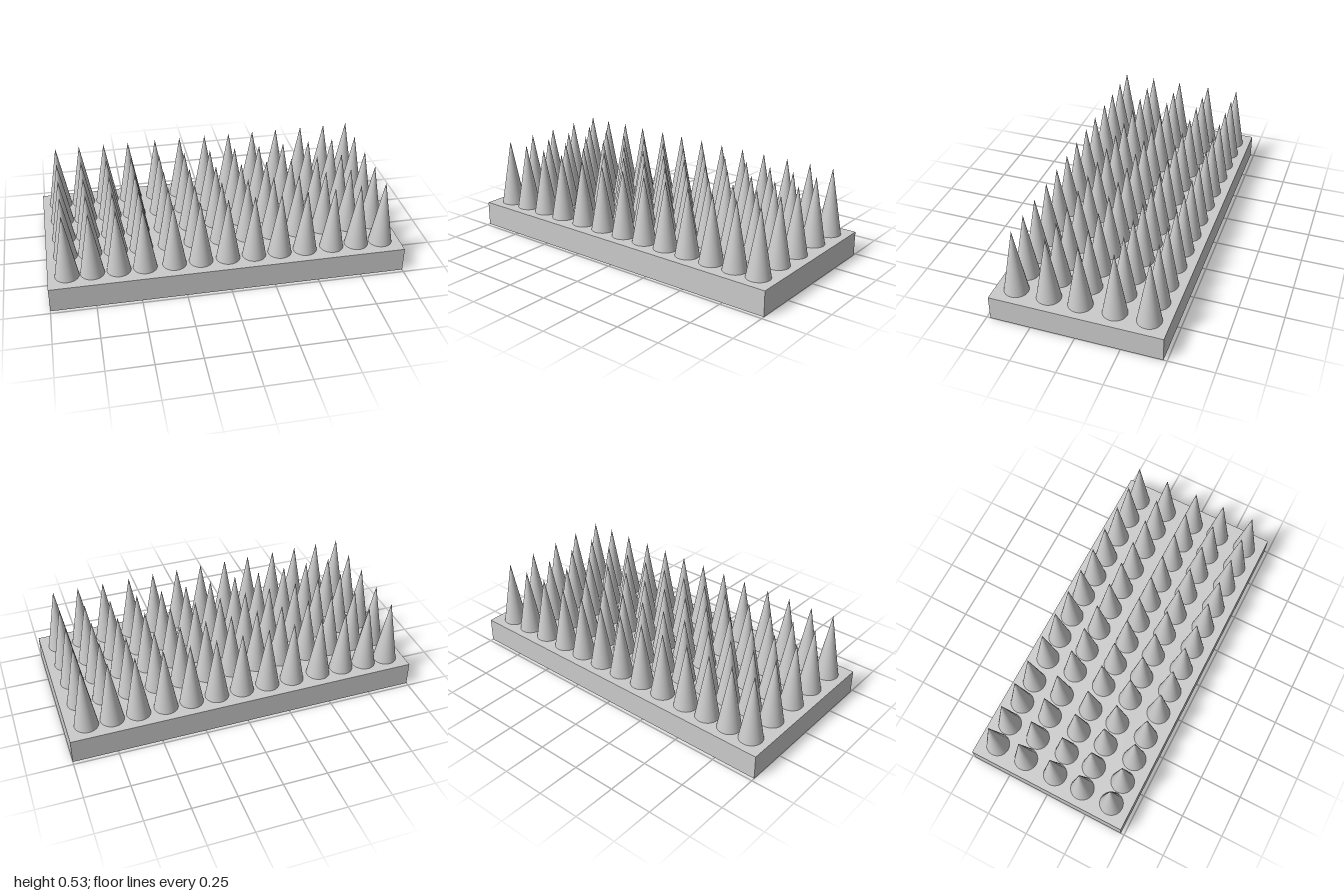
import * as THREE from 'three';

const BASE_HEIGHT = 0.142;
const SPIKE_HEIGHT = 0.384;
const SPIKE_RADIUS = 0.067;

// Slightly uneven spacing of the spike columns (x) and rows (z)
const COLUMNS = [-0.893, -0.755, -0.61, -0.465, -0.302, -0.153, 0, 0.149, 0.297, 0.444, 0.6, 0.747, 0.89];
const ROWS = [-0.37, -0.185, 0.005, 0.181, 0.366];

export function createModel() {
  const model = new THREE.Group();
  model.name = 'spikeBed';
  const material = new THREE.MeshStandardMaterial({ color: 0xcccccc });

  // Flat slab
  const base = new THREE.Mesh(new THREE.BoxGeometry(2, BASE_HEIGHT, 0.96), material);
  base.name = 'base';
  base.position.y = BASE_HEIGHT / 2;
  model.add(base);

  // Grid of smooth cones standing on the slab
  const spikes = new THREE.Group();
  spikes.name = 'spikes';
  const cone = new THREE.ConeGeometry(SPIKE_RADIUS, SPIKE_HEIGHT, 48);
  cone.translate(0, SPIKE_HEIGHT / 2, 0);
  for (const z of ROWS) {
    for (const x of COLUMNS) {
      const spike = new THREE.Mesh(cone, material);
      spike.name = 'spike';
      spike.position.set(x, BASE_HEIGHT, z);
      spikes.add(spike);
    }
  }
  model.add(spikes);

  return model;
}
